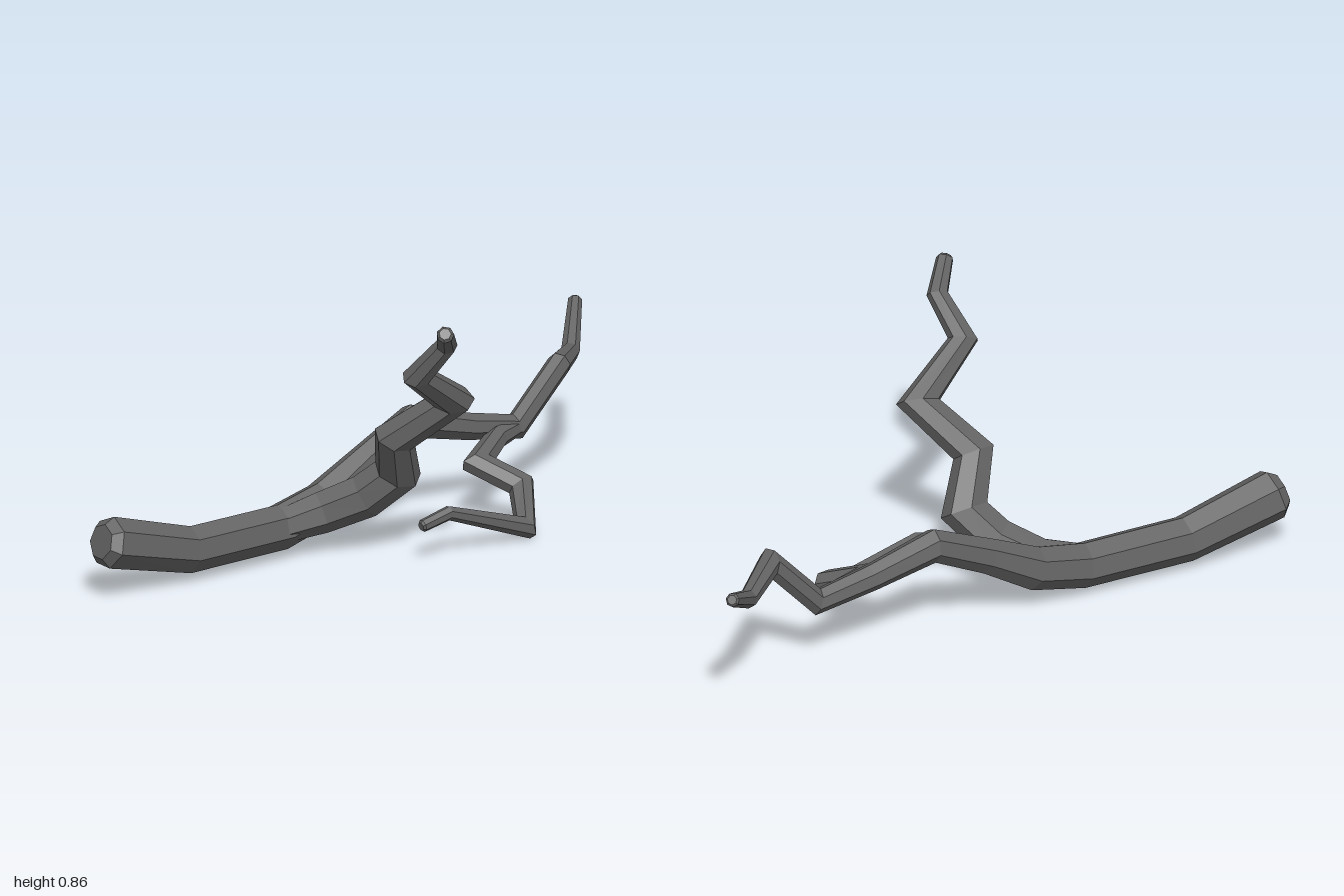
import * as THREE from 'three';

const SIDES = 7;

// Sweeps a faceted tube through points [x, y, z, radius] with mitred joints and bevelled ends.
function limbGeometry(points) {
  const pts = points.map(p => new THREE.Vector3(p[0], p[1], p[2]));
  const radii = points.map(p => p[3]);
  const last = pts.length - 1;
  const dirs = pts.slice(1).map((p, i) => p.clone().sub(pts[i]).normalize());
  const rings = [];
  const up = new THREE.Vector3(0, 1, 0);
  let u = up.addScaledVector(dirs[0], -up.dot(dirs[0])).normalize();

  const addRing = (centre, radius, axis, normal) => {
    const v = new THREE.Vector3().crossVectors(axis, u);
    const ring = [];
    for (let k = 0; k < SIDES; k++) {
      const a = (k / SIDES) * Math.PI * 2;
      const off = u.clone().multiplyScalar(Math.cos(a) * radius).addScaledVector(v, Math.sin(a) * radius);
      // slide the corner along the limb onto the joint plane
      off.addScaledVector(axis, -off.dot(normal) / axis.dot(normal));
      ring.push(centre.clone().add(off));
    }
    rings.push(ring);
  };

  for (let i = 0; i <= last; i++) {
    const before = dirs[Math.max(i - 1, 0)];
    const after = dirs[Math.min(i, last - 1)];
    const normal = before.clone().add(after).normalize();
    const bevel = radii[i] * 0.35;
    if (i === 0) addRing(pts[0].clone().addScaledVector(after, -bevel), radii[0] * 0.68, after, after);
    addRing(pts[i], radii[i], before, normal);
    if (i === last) addRing(pts[i].clone().addScaledVector(before, bevel), radii[i] * 0.68, before, before);
    u.applyQuaternion(new THREE.Quaternion().setFromUnitVectors(before, after));
  }

  const pos = [];
  const tri = (a, b, c) => [a, b, c].forEach(p => pos.push(p.x, p.y, p.z));
  for (let i = 0; i < rings.length - 1; i++) {
    for (let k = 0; k < SIDES; k++) {
      const n = (k + 1) % SIDES;
      const a = rings[i][k], b = rings[i][n], c = rings[i + 1][n], d = rings[i + 1][k];
      tri(a, b, c);
      tri(a, c, d);
    }
  }
  const first = rings[0], end = rings[rings.length - 1];
  for (let k = 1; k < SIDES - 1; k++) {
    tri(first[0], first[k + 1], first[k]);
    tri(end[0], end[k], end[k + 1]);
  }
  const geo = new THREE.BufferGeometry();
  geo.setAttribute('position', new THREE.Float32BufferAttribute(pos, 3));
  geo.computeVertexNormals();
  return geo;
}

const LIMBS = {
  // thick butt on the right, running out to the thin tip on the left
  mainStem: [
    [-0.955, 0.178, -0.213, 0.078], [-0.67, 0.098, -0.2, 0.07], [-0.33, 0.097, -0.193, 0.069],
    [-0.16, 0.135, -0.2, 0.066], [0.0, 0.222, -0.207, 0.054], [0.18, 0.307, -0.215, 0.049],
    [0.38, 0.25, -0.206, 0.041], [0.56, 0.213, -0.2, 0.036], [0.71, 0.377, -0.187, 0.036],
    [0.85, 0.352, -0.31, 0.028], [0.975, 0.447, -0.445, 0.021],
  ],
  // zigzag branch rising forwards
  upperBranch: [
    [-0.36, 0.1, -0.185, 0.05], [-0.21, 0.128, -0.15, 0.064], [-0.11, 0.18, -0.07, 0.068],
    [-0.045, 0.26, 0.003, 0.066], [-0.115, 0.4, 0.075, 0.057], [-0.005, 0.53, 0.212, 0.05],
    [-0.19, 0.66, 0.277, 0.039], [-0.155, 0.775, 0.37, 0.031], [-0.22, 0.84, 0.445, 0.026],
  ],
  // thin twig dropping forwards and curling back
  lowerTwig: [
    [0.56, 0.213, -0.198, 0.028], [0.46, 0.21, -0.165, 0.034], [0.325, 0.18, -0.085, 0.038],
    [0.4, 0.125, 0.025, 0.038], [0.335, 0.038, 0.125, 0.031], [0.06, 0.137, 0.11, 0.021],
    [-0.035, 0.117, 0.108, 0.019],
  ],
};

export function createModel() {
  const model = new THREE.Group();
  model.name = 'deadBranch';
  const bark = new THREE.MeshStandardMaterial({ color: 0x636363, flatShading: true });
  bark.name = 'greyBark';
  for (const [name, points] of Object.entries(LIMBS)) {
    const mesh = new THREE.Mesh(limbGeometry(points), bark);
    mesh.name = name;
    model.add(mesh);
  }
  // stand on the ground, centred
  const box = new THREE.Box3().setFromObject(model);
  const c = box.getCenter(new THREE.Vector3());
  model.children.forEach(m => m.geometry.translate(-c.x, -box.min.y, -c.z));
  return model;
}
